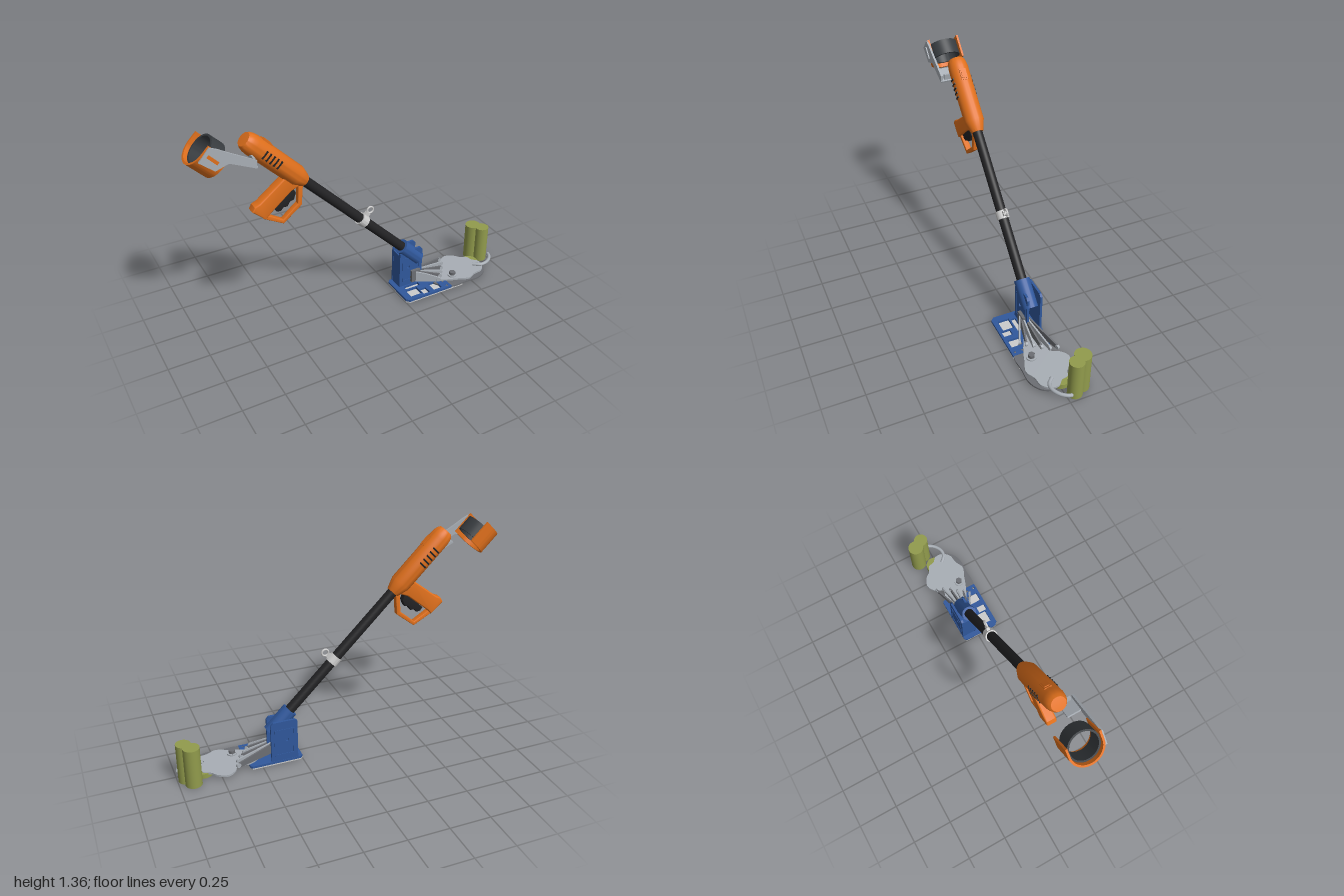
import * as THREE from 'three';
import { toCreasedNormals } from 'three/addons/utils/BufferGeometryUtils.js';

const mat = (color) => new THREE.MeshStandardMaterial({ color, side: THREE.DoubleSide });
const V = (x, y, z) => new THREE.Vector3(x, y, z);
const rad = THREE.MathUtils.degToRad;

export function createModel() {
  const orange = mat(0xe0701c), black = mat(0x222224), blue = mat(0x30589c), olive = mat(0x919b4c);
  const grey = mat(0xa8aeb5), dark = mat(0x6c6e73), liner = mat(0x383c40), pale = mat(0xcccccc);
  const model = new THREE.Group();
  const Z = -0.03; // depth of the pole's centre line

  function add(parent, name, geo, material, x = 0, y = 0, z = 0) {
    const m = new THREE.Mesh(geo, material);
    m.name = name;
    m.position.set(x, y, z);
    parent.add(m);
    return m;
  }
  const box = (w, h, d) => new THREE.BoxGeometry(w, h, d);
  const cyl = (r, h, n = 40) => new THREE.CylinderGeometry(r, r, h, n);
  const poly = (pts) => new THREE.Shape(pts.map((p) => new THREE.Vector2(...p)));
  const lathe = (pts) => toCreasedNormals(new THREE.LatheGeometry(pts.map((p) => new THREE.Vector2(...p)), 40), 0.6);
  const rect = (x0, y0, x1, y1) => poly([[x0, y0], [x1, y0], [x1, y1], [x0, y1]]);
  const circle = (x, y, r) => new THREE.Shape().absarc(x, y, r, 0, Math.PI * 2);
  // Extrude a front-view outline from z0 to z1
  function upright(shape, z0, z1, bevel = 0) {
    const geo = new THREE.ExtrudeGeometry(shape, {
      depth: z1 - z0 - 2 * bevel, bevelEnabled: bevel > 0, bevelSize: bevel, bevelOffset: -bevel,
      bevelThickness: bevel, bevelSegments: 3, curveSegments: 24 });
    return toCreasedNormals(geo.translate(0, 0, z0 + bevel), 0.6);
  }
  // Extrude a plan outline, drawn as (x, -z), from y0 to y1
  const flat = (shape, y0, y1) => upright(shape, y0, y1).rotateX(-Math.PI / 2);
  // Smooth closed plan outline through (x, z) points
  const smooth = (pts) => new THREE.Shape(
    new THREE.CatmullRomCurve3(pts.map(([x, z]) => V(x, -z, 0)), true, 'centripetal').getPoints(90)
      .slice(0, -1).map((p) => new THREE.Vector2(p.x, p.y)));

  // Everything along the slanted pole: local y runs up the pole, local x is its upper side
  const arm = new THREE.Group();
  arm.name = 'arm';
  arm.position.set(0.32, 0.3, Z);
  arm.rotation.z = Math.PI / 4;
  model.add(arm);
  add(arm, 'pole', cyl(0.03, 1.06), black, 0, 0.43, 0);
  add(arm, 'poleSocket', lathe([[0.031, -0.15], [0.047, -0.15], [0.047, 0.025], [0.031, 0.025], [0.031, -0.15]]), blue);
  add(arm, 'motorBody', lathe([[0, 0.94], [0.036, 0.94], [0.044, 0.96], [0.06, 1.01], [0.06, 1.35],
    [0.057, 1.375], [0.051, 1.395], [0.042, 1.408], [0, 1.41]]), orange);
  add(arm, 'switchFrame', box(0.03, 0.07, 0.04), orange, 0.048, 1.29, 0);
  add(arm, 'switch', box(0.03, 0.05, 0.026), orange, 0.052, 1.29, 0);
  for (const s of [-1, 1]) {
    for (let i = 0; i < 5; i++) {
      add(arm, 'ventSlot', box(0.05, 0.01, 0.014), black, 0, 1.17 + i * 0.028, s * 0.0535);
    }
  }

  // Clamp with eyelet at mid pole
  add(arm, 'clamp', lathe([[0.03, 0.395], [0.038, 0.395], [0.038, 0.445], [0.03, 0.445]]), pale);
  add(arm, 'clampLug', box(0.024, 0.03, 0.02), pale, 0.045, 0.42, 0);
  add(arm, 'eyelet', new THREE.TorusGeometry(0.02, 0.006, 12, 32), pale, 0.076, 0.42, 0);

  // Forearm cuff: U-shaped shell around a ring liner
  const cuff = new THREE.Group();
  cuff.name = 'cuff';
  cuff.position.set(-0.18, 1.53, 0);
  arm.add(cuff);
  const shell = new THREE.Shape();
  shell.moveTo(0.065, 0.1);
  shell.lineTo(0.01, 0.1);
  shell.absarc(0.01, 0, 0.1, Math.PI / 2, Math.PI * 1.5, false);
  shell.lineTo(0.065, -0.1);
  shell.lineTo(0.065, -0.088);
  shell.lineTo(0.01, -0.088);
  shell.absarc(0.01, 0, 0.088, Math.PI * 1.5, Math.PI / 2, true);
  shell.lineTo(0.065, 0.088);
  add(cuff, 'cuffShell', flat(shell, -0.07, 0.07), orange);
  const ring = circle(0.013, 0, 0.09);
  ring.holes.push(circle(0.013, 0, 0.079));
  add(cuff, 'cuffLiner', flat(ring, -0.045, 0.045), liner);

  // Bracket joining the cuff to the body
  const plate = poly([[-0.955, 1.275], [-0.895, 1.345], [-0.85, 1.325], [-0.79, 1.29], [-0.65, 1.215],
    [-0.655, 1.17], [-0.8, 1.235], [-0.875, 1.21]]);
  plate.holes.push(poly([[-0.915, 1.295], [-0.9, 1.308], [-0.845, 1.25], [-0.86, 1.237]]));
  add(model, 'cuffBracket', upright(plate, 0.066, 0.078), grey);
  const flange = add(model, 'cuffBracketFlange', box(0.1, 0.012, 0.09), grey, -0.695, 1.195, 0.033);
  flange.rotation.z = rad(-25);
  const flangeBack = add(model, 'cuffBracketMount', box(0.012, 0.05, 0.07), grey, -0.66, 1.195, 0.02);
  flangeBack.rotation.z = rad(-8);

  // Grip, guard and trigger
  add(model, 'grip', upright(poly([[-0.67, 0.865], [-0.655, 0.892], [-0.625, 0.905], [-0.47, 1.025], [-0.42, 1.06],
    [-0.35, 1.0], [-0.385, 0.955], [-0.435, 0.935], [-0.57, 0.825], [-0.595, 0.798]]), Z - 0.031, Z + 0.031, 0.008), orange);
  const guard = poly([[-0.36, 0.95], [-0.372, 0.825], [-0.487, 0.735], [-0.605, 0.8], [-0.59, 0.822],
    [-0.489, 0.76], [-0.395, 0.837], [-0.388, 0.96]]);
  add(model, 'guard', upright(guard, Z - 0.018, Z + 0.018, 0.004), orange);
  add(model, 'trigger', upright(poly([[-0.54, 0.845], [-0.525, 0.825], [-0.5, 0.822], [-0.485, 0.84], [-0.46, 0.84],
    [-0.445, 0.865], [-0.42, 0.872], [-0.405, 0.91], [-0.42, 0.945], [-0.45, 0.93]]), Z - 0.02, Z + 0.02, 0.004), black);

  // Upright housing: two side plates and an end wall
  const side = () => {
    const s = poly([[0.28, 0.02], [0.445, 0.02], [0.445, 0.27], [0.43, 0.287], [0.295, 0.287], [0.28, 0.275]]);
    s.holes.push(circle(0.345, 0.16, 0.011));
    return s;
  };
  add(model, 'housingFrontPlate', upright(side(), -0.014, 0), blue);
  add(model, 'housingBackPlate', upright(side(), -0.098, -0.084), blue);
  add(model, 'housingEndWall', box(0.014, 0.24, 0.075), blue, 0.288, 0.14, -0.049);
  for (const z of [0, -0.098]) {
    const frame = rect(0.3, 0.06, 0.425, 0.235);
    frame.holes.push(rect(0.308, 0.068, 0.417, 0.227));
    add(model, 'housingPanelRim', upright(frame, z - 0.003, z + 0.003), blue);
  }

  // Base: blue tray with openings on a thin sole plate
  const tray = poly([[0.265, 0.1], [0.565, 0.1], [0.575, 0.09], [0.575, 0], [0.585, -0.02], [0.585, -0.15],
    [0.27, -0.15], [0.25, -0.13], [0.25, 0.085]]);
  for (const r of [[0.295, -0.12, 0.375, -0.05], [0.305, -0.04, 0.41, -0.01], [0.38, -0.135, 0.425, -0.08],
    [0.46, -0.13, 0.52, -0.06]]) tray.holes.push(rect(...r));
  for (const z of [0.08, 0.13]) tray.holes.push(circle(0.56, -z, 0.008));
  add(model, 'baseTray', flat(tray, 0.01, 0.024), blue);
  const sole = poly([[0.265, 0.1], [0.565, 0.1], [0.58, 0], [0.67, -0.04], [0.67, -0.15], [0.27, -0.15], [0.25, -0.13], [0.25, 0.085]]);
  for (const [x, z] of [[0.3, -0.07], [0.53, -0.07], [0.44, 0.07], [0.56, 0.03], [0.62, 0.12]]) sole.holes.push(circle(x, -z, 0.01));
  add(model, 'solePlate', flat(sole, 0.002, 0.01), pale);

  // Lower and upper jaw plates with pivot screw
  add(model, 'lowerJaw', flat(smooth([[0.5, 0.05], [0.58, 0.145], [0.7, 0.15], [0.8, 0.15], [0.87, 0.11],
    [0.895, 0.05], [0.87, 0], [0.75, -0.04], [0.6, -0.02]]), 0.012, 0.022), dark);
  add(model, 'upperJaw', flat(smooth([[0.46, 0.0], [0.5, -0.03], [0.57, -0.07], [0.64, -0.06], [0.67, -0.11], [0.72, -0.14],
    [0.78, -0.115], [0.81, -0.08], [0.85, -0.06], [0.86, -0.02], [0.89, 0.01], [0.89, 0.06], [0.85, 0.105],
    [0.79, 0.115], [0.73, 0.14], [0.66, 0.115], [0.58, 0.085], [0.48, 0.03]]), 0.022, 0.034), grey);
  add(model, 'pivotWasher', cyl(0.03, 0.008), grey, 0.645, 0.038, 0.065);
  add(model, 'pivotScrew', cyl(0.021, 0.024, 6), dark, 0.645, 0.05, 0.065);

  // Comb of tapering fingers fanning out from the housing
  add(model, 'fingerMount', box(0.065, 0.085, 0.03), dark, 0.393, 0.088, 0.005);
  const finger = (len) => upright(poly([[0, 0.045], [0, 0.12], [0.06, 0.105], [len, 0.07], [len, 0.04]]), -0.005, 0.005);
  [[0.27, 17], [0.25, 10], [0.22, 3], [0.19, -5], [0.17, -14], [0.15, -25]].forEach(([len, angle], i) => {
    const f = add(model, 'finger', finger(len), i % 2 ? grey : dark, 0.39, 0, -0.02 + i * 0.008);
    f.rotation.y = rad(angle);
    const tip = add(f, 'fingerTip', cyl(0.014, 0.014, 16), grey, len, 0.055, 0);
    tip.rotation.x = Math.PI / 2;
  });

  // Hook reaching around the stalks
  const hook = new THREE.CatmullRomCurve3([V(0.83, 0.038, 0.03), V(0.87, 0.042, 0.065), V(0.91, 0.045, 0.068),
    V(0.955, 0.045, 0.045), V(0.98, 0.045, 0.015), V(0.99, 0.045, -0.008)]);
  add(model, 'hook', new THREE.TubeGeometry(hook, 32, 0.011, 12), grey);
  add(model, 'hookTip', new THREE.SphereGeometry(0.011, 16, 12), grey, 0.989, 0.045, -0.009);

  // Two cut stalks and a low stump
  add(model, 'stalk', cyl(0.044, 0.247), olive, 0.951, 0.126, -0.052);
  add(model, 'stalk', cyl(0.049, 0.247), olive, 0.917, 0.126, -0.106);
  add(model, 'stump', cyl(0.056, 0.03), olive, 0.842, 0.015, -0.02);
  return model;
}
